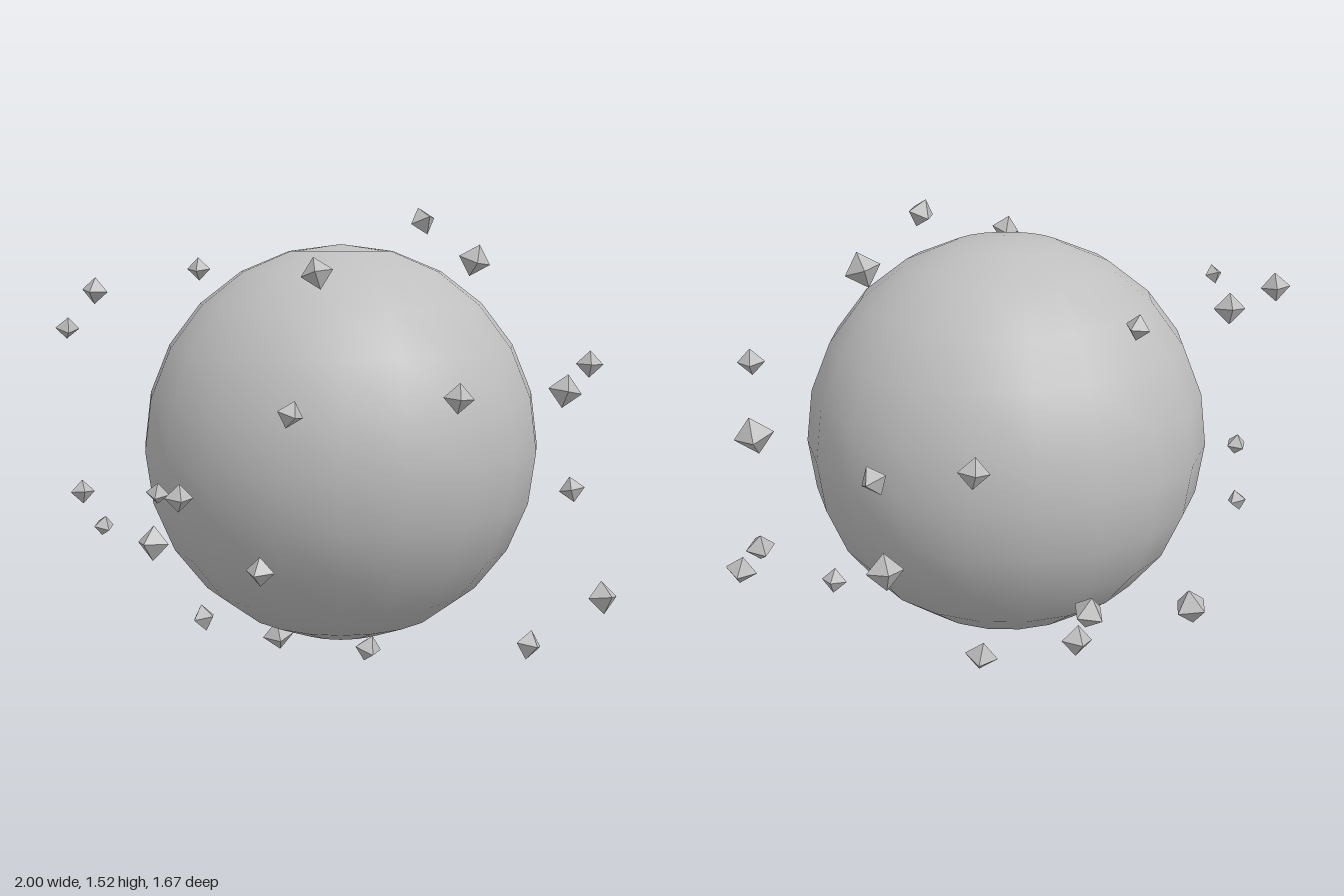
import * as THREE from 'three';

// Small seeded generator for the tumble of each shard
function seeded(seed) {
  return () => {
    seed = (seed * 16807) % 2147483647;
    return seed / 2147483647;
  };
}

// Shards around the planet: x, y, z, radius
const SHARDS = [
  // above
  [0.13, 1.485, 0.2, 0.045], [0.4, 1.36, 0.235, 0.055], [-0.45, 1.33, 0.22, 0.047],
  // front
  [-0.42, 1.005, 0.67, 0.042], [0.45, 1.03, 0.64, 0.044], [0.33, 0.3, 0.765, 0.053],
  [-0.23, 0.3, 0.795, 0.042], [0.7, 0.905, 0.435, 0.06], [0.83, 0.53, 0.41, 0.047],
  [-0.73, 0.97, 0.345, 0.038], [-0.87, 0.58, 0.355, 0.04], [-0.665, 0.36, 0.55, 0.037],
  // left and right sides
  [0.86, 1.015, -0.4, 0.042], [0.75, 0.875, -0.02, 0.045], [0.97, 0.675, -0.035, 0.034],
  [0.835, 0.655, -0.105, 0.053], [-0.955, 0.63, 0.06, 0.047], [-0.84, 0.73, 0.045, 0.04],
  [-0.755, 0.71, -0.12, 0.034], [-0.795, 1.17, -0.43, 0.034],
];
// back
SHARDS.push(
  [0.17, 1.325, -0.805, 0.043], [0.23, 0.43, -0.77, 0.055], [0.475, 1.33, -0.665, 0.036],
  [0.585, 0.54, -0.6, 0.05], [-0.59, 0.63, -0.62, 0.038], [-0.45, 0.485, -0.68, 0.036],
  [-0.37, 1.26, -0.775, 0.045]
);
// below
SHARDS.push([-0.6, 0.31, -0.095, 0.04], [0.53, 0.265, -0.23, 0.05], [0, 0.06, -0.3, 0.055]);

export function createModel() {
  const model = new THREE.Group();
  model.name = 'planetWithShards';

  const stone = new THREE.MeshStandardMaterial({ color: 0xbfbfbf });
  stone.name = 'grey stone';

  // Smooth central ball with a coarse outline
  const planet = new THREE.Mesh(new THREE.SphereGeometry(0.643, 20, 12), stone);
  planet.name = 'planet';
  planet.position.set(0, 0.77, -0.027);
  model.add(planet);

  // Faceted octahedral shards floating around it
  const shards = new THREE.Group();
  shards.name = 'shards';
  const shardShape = new THREE.OctahedronGeometry(1);
  const random = seeded(4127);
  SHARDS.forEach(([x, y, z, radius], i) => {
    const shard = new THREE.Mesh(shardShape, stone);
    shard.name = `shard${i + 1}`;
    shard.position.set(x, y, z);
    shard.scale.setScalar(radius);
    shard.rotation.set((random() - 0.5) * 0.7, random() * Math.PI, (random() - 0.5) * 0.7);
    shards.add(shard);
  });
  model.add(shards);

  return model;
}
